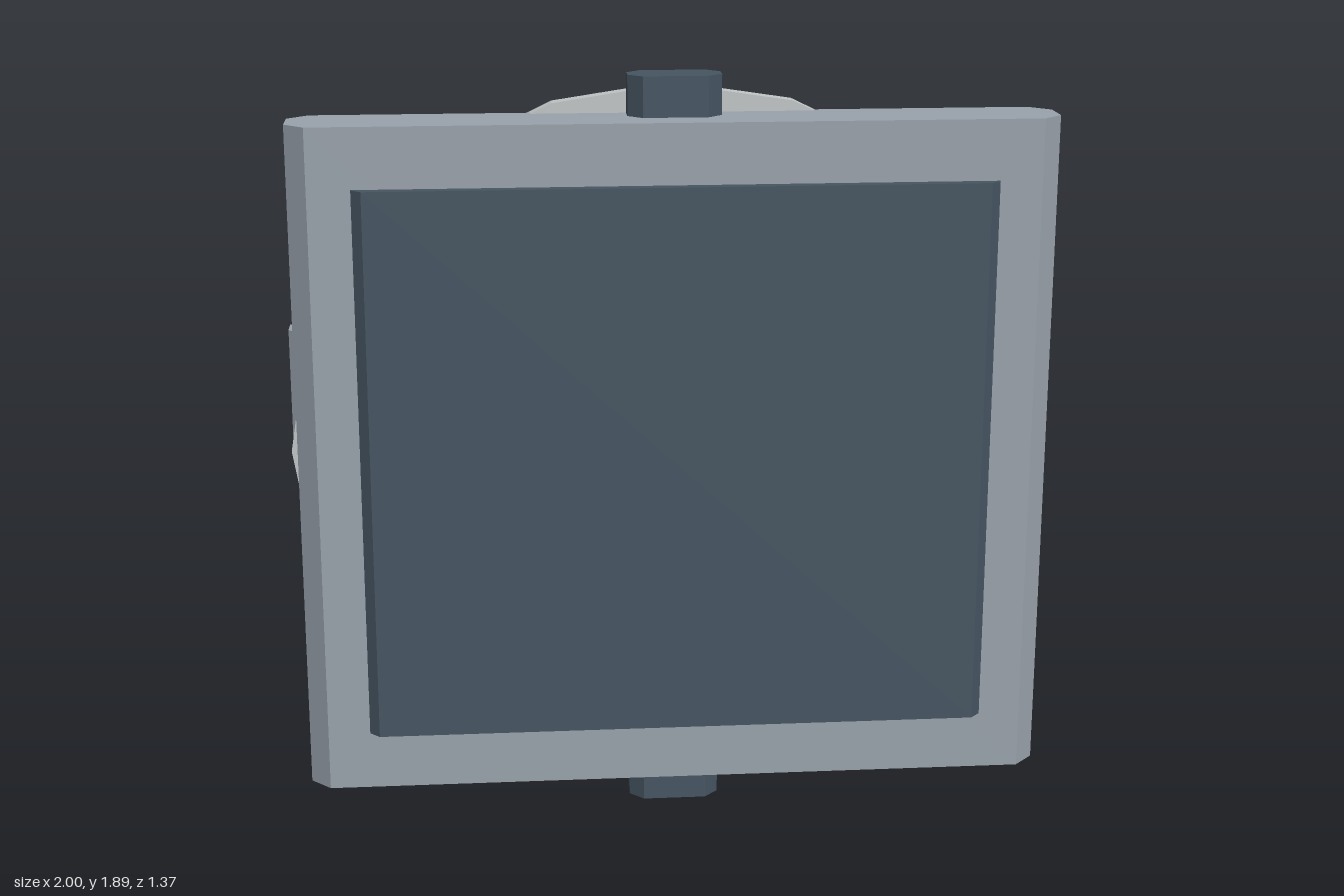
import * as THREE from 'three';

const CY = 0.945; // height of the shared axis
const mat = (name, color) => {
  const m = new THREE.MeshStandardMaterial({ color, flatShading: true });
  m.name = name;
  return m;
};

export function createModel() {
  const group = new THREE.Group();
  const grey = mat('steel grey', 0x9aa3ad);
  const dark = mat('dark slate', 0x465663);
  const blue = mat('blue', 0x6796c6);
  const light = mat('light grey', 0xc1c6c7);

  const add = (name, geometry, material, x, y, z) => {
    const mesh = new THREE.Mesh(geometry, material);
    mesh.name = name;
    mesh.position.set(x, y, z);
    group.add(mesh);
    return mesh;
  };

  // Upright block with its four vertical edges chamfered
  const block = (w, h, d, c) => {
    const a = w / 2, b = d / 2;
    const pts = [[a - c, -b], [a, -b + c], [a, b - c], [a - c, b],
      [c - a, b], [-a, b - c], [-a, c - b], [c - a, -b]];
    const shape = new THREE.Shape(pts.map(p => new THREE.Vector2(...p)));
    return new THREE.ExtrudeGeometry(shape, { depth: h, bevelEnabled: false })
      .translate(0, 0, -h / 2).rotateX(-Math.PI / 2);
  };

  // Flat faceted elliptical ring
  const oval = (rx, ry) => Array.from({ length: 20 }, (_, i) => {
    const t = i * Math.PI / 10;
    return new THREE.Vector2(rx * Math.cos(t), ry * Math.sin(t));
  });
  const ring = (name, rx, ry, band, z0, z1) => {
    const shape = new THREE.Shape(oval(rx, ry));
    shape.holes.push(new THREE.Path(oval(rx - band, ry - band)));
    const g = new THREE.ExtrudeGeometry(shape, { depth: z1 - z0, bevelEnabled: false });
    return add(name, g, light, 0, CY, z0);
  };

  // Front panel, inset face and vertical spine
  add('frontPanel', block(1.87, 1.69, 0.19, 0.05), grey, 0, CY, 0.56);
  add('panelFace', block(1.56, 1.39, 0.12, 0.025), dark, 0, CY, 0.625);
  add('spine', block(0.23, 1.89, 0.115, 0.035), dark, 0, CY, 0.515);

  // Concentric rings
  ring('largeRing', 0.96, 0.915, 0.15, 0.438, 0.483);
  ring('rearRing', 0.847, 0.795, 0.15, 0.134, 0.192);
  ring('innerRing', 0.45, 0.42, 0.05, 0.4, 0.465);
  add('roundRing', new THREE.TorusGeometry(0.795, 0.03, 8, 20), light, 0, CY, 0.273)
    .scale.y = 0.945;

  // Six spacers between the round ring and the rear ring
  for (let i = 0; i < 6; i++) {
    const t = THREE.MathUtils.degToRad(78 + 60 * i);
    const s = add('spacer', block(0.17, 0.15, 0.07, 0.02), blue,
      0.72 * Math.cos(t), CY + 0.69 * Math.sin(t), 0.222);
    s.rotation.z = t - Math.PI / 2;
  }

  // Twelve blocks with pegs set between them
  for (let i = 0; i < 12; i++) {
    const t = i * Math.PI / 6, p = t + Math.PI / 12;
    add('ringBlock', block(0.13, 0.13, 0.085, 0.025), dark,
      0.595 * Math.cos(t), CY + 0.525 * Math.sin(t), 0.393);
    const x = 0.55 * Math.cos(p), y = CY + 0.5 * Math.sin(p);
    add('pegCap', block(0.075, 0.075, 0.038, 0.01), blue, x, y, 0.343);
    add('pegStem', block(0.048, 0.055, 0.04, 0.008), light, x, y, 0.308);
  }

  // Central hub with four tilted fins
  add('hub', block(0.52, 0.49, 0.32, 0.06), dark, 0, CY, 0.23);
  for (const sx of [-1, 1]) for (const sy of [-1, 1]) {
    const arm = new THREE.Group();
    arm.name = 'hubFin';
    arm.position.set(sx * 0.23, CY + sy * 0.2, 0.33);
    arm.rotation.z = Math.atan2(sy, sx);
    const fin = new THREE.Mesh(block(0.2, 0.16, 0.06, 0.015), dark);
    fin.name = 'fin';
    fin.rotation.y = -0.5;
    arm.add(fin);
    group.add(arm);
  }

  // Rear crossbar, stalk and end cap
  add('crossbar', block(2, 0.37, 0.145, 0.042), grey, 0, CY, -0.07);
  add('stalk', new THREE.BoxGeometry(0.2, 0.19, 0.66), light, 0, CY, -0.24);
  add('endCap', block(0.32, 0.3, 0.132, 0.038), blue, 0, CY, -0.618);

  return group;
}
